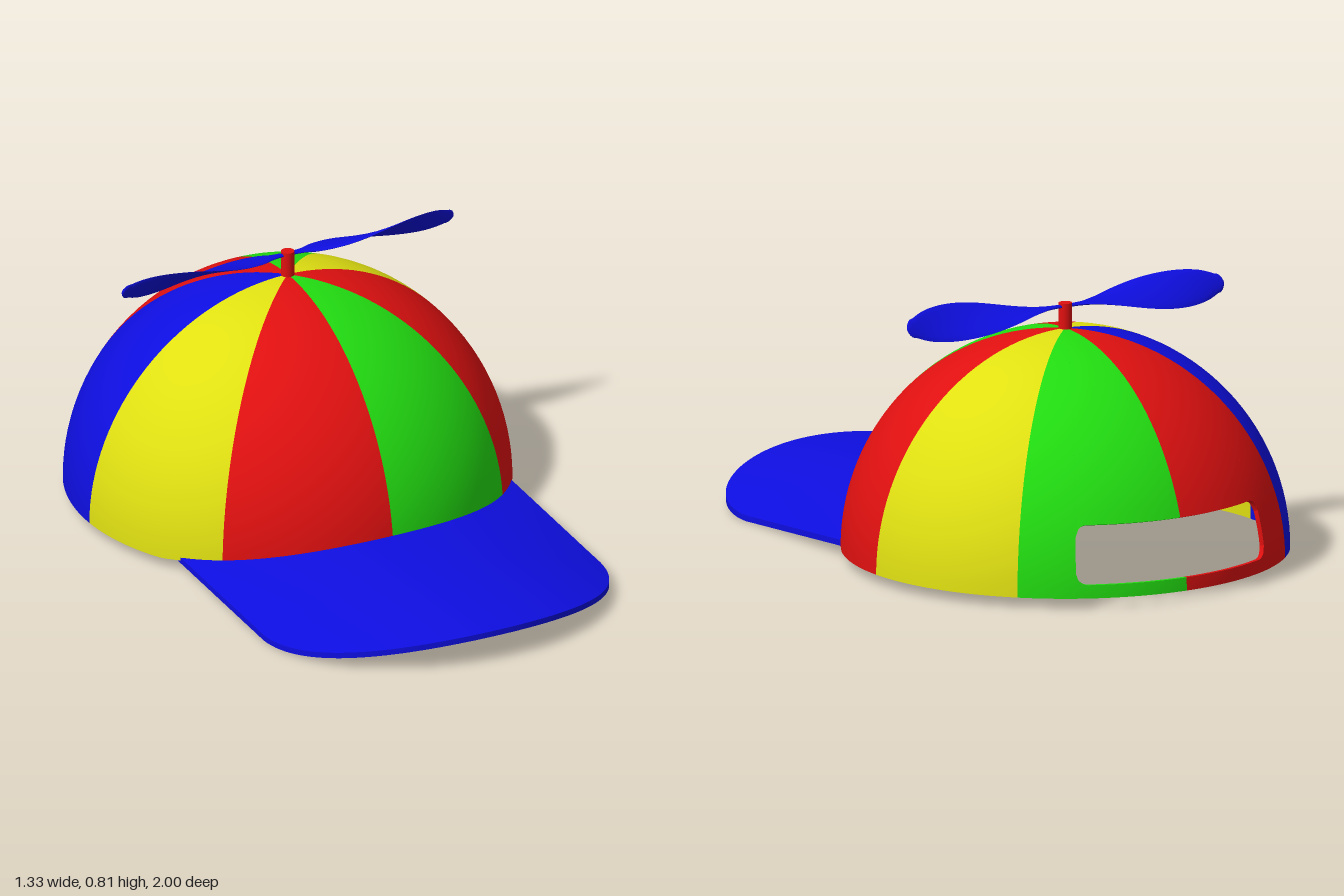
import * as THREE from 'three';
import { toCreasedNormals } from 'three/addons/utils/BufferGeometryUtils.js';

const R = 0.665, WALL = 0.014, BASE = 0.03, CZ = -0.335; // crown sphere
const HALF = 0.555, BRIM = 0.018; // brim half width and thickness
const SLOT = Math.PI / 6, SLOT_LOW = 0.07, SLOT_HIGH = 0.245, CORNER = 0.035;
const { lerp, clamp, degToRad } = THREE.MathUtils;

const flat = (name, color) => Object.assign(new THREE.MeshStandardMaterial({ color }), { name });

// Skin closed rings of points into a capped solid
function loft(rings) {
  const pos = [], idx = [], m = rings[0].length, last = (rings.length - 1) * m;
  rings.forEach(r => r.forEach(p => pos.push(...p)));
  for (let k = 0; k < rings.length - 1; k++) {
    for (let i = 0; i < m; i++) {
      const j = (i + 1) % m, a = k * m + i, b = k * m + j;
      idx.push(a, a + m, b + m, a, b + m, b);
    }
  }
  for (let i = 0; i < m / 2 - 1; i++) {
    const a = i, b = i + 1, c = m - 2 - i, d = m - 1 - i;
    idx.push(a, b, c, a, c, d);
    idx.push(last + a, last + c, last + b, last + a, last + d, last + c);
  }
  const g = new THREE.BufferGeometry();
  g.setAttribute('position', new THREE.Float32BufferAttribute(pos, 3));
  g.setIndex(idx);
  return toCreasedNormals(g, 0.6);
}

// Height of the arched brim's upper face
function brimTop(x, z) {
  const arch = lerp(0.07, 0.1, clamp((z - 0.03) / 0.52, 0, 1));
  return 0.118 - arch * (x / HALF) ** 2 - 0.1 * Math.max(0, z - 0.6) ** 2;
}

// Lower edge of the crown, lifted over the brim at the front
function hem(t) {
  if (Math.cos(t) <= 0) return BASE;
  const x = R * Math.sin(t), z = CZ + R * Math.cos(t);
  return Math.max(BASE, brimTop(x, z) - BRIM / 2);
}

// Rounding of the slot corners at angle t
function round(t) {
  const d = Math.max(0, (SLOT - Math.abs(t - Math.PI)) * R);
  return d < CORNER ? CORNER - Math.sqrt(CORNER ** 2 - (CORNER - d) ** 2) : 0;
}
const slotTop = t => SLOT_HIGH - round(t);
const slotBottom = t => SLOT_LOW + round(t);
const crownTop = () => BASE + R;

// Piece of the spherical wall between two angles and two height rules
function shell(t0, t1, low, high, nu, nv) {
  const rings = [];
  for (let k = 0; k <= nu; k++) {
    const t = lerp(t0, t1, k / nu), outer = [], inner = [];
    const e0 = Math.asin((low(t) - BASE) / R), e1 = Math.asin(Math.min(1, (high(t) - BASE) / R));
    for (let i = 0; i <= nv; i++) {
      const e = lerp(e0, e1, i / nv);
      const at = r => [r * Math.cos(e) * Math.sin(t), BASE + r * Math.sin(e), CZ + r * Math.cos(e) * Math.cos(t)];
      outer.push(at(R));
      inner.unshift(at(R - WALL));
    }
    rings.push([...outer, ...inner]);
  }
  return loft(rings);
}

function brimGeometry() {
  const rings = [], nu = 64, nv = 20;
  for (let k = 0; k <= nu; k++) {
    const s = Math.sin(lerp(-Math.PI / 2, Math.PI / 2, k / nu)), x = HALF * s;
    const z0 = CZ + Math.sqrt((R - WALL / 2) ** 2 - x * x);
    const z1 = 0.55 + 0.45 * Math.sqrt(Math.max(0, 1 - s * s));
    const top = [], under = [];
    for (let i = 0; i <= nv; i++) {
      const z = lerp(z1, z0, i / nv), y = brimTop(x, z);
      top.push([x, y, z]);
      under.unshift([x, y - BRIM, z]);
    }
    rings.push([...top, ...under]);
  }
  return loft(rings);
}

// Two mirrored blades, flat at the hub and twisting steeper to the tips
function propellerGeometry() {
  const chord = new THREE.SplineCurve([
    [0, 0.008], [0.05, 0.014], [0.1, 0.032], [0.2, 0.06], [0.3, 0.07], [0.4, 0.065], [0.48, 0.05], [0.53, 0.03],
  ].map(p => new THREE.Vector2(...p)));
  const half = [];
  for (let k = 0; k <= 40; k++) {
    const p = chord.getPoint(k / 40);
    half.push([p.x, p.y]);
  }
  for (let k = 1; k <= 6; k++) {
    const a = k / 6 * Math.PI / 2;
    half.push([0.53 + 0.025 * Math.sin(a), 0.03 * Math.cos(a)]);
  }
  const stations = [...half.slice(1).reverse().map(([x, w]) => [-x, w]), ...half];
  return loft(stations.map(([x, w]) => {
    const pitch = degToRad(145 * Math.max(0, Math.abs(x) - 0.08));
    const thick = Math.min(0.005, w * 0.5), ring = [];
    for (let i = 0; i < 16; i++) {
      const a = i / 16 * Math.PI * 2, u = w * Math.cos(a), v = thick * Math.sin(a);
      ring.push([x, 0.762 + u * Math.sin(pitch) + v * Math.cos(pitch), CZ + u * Math.cos(pitch) - v * Math.sin(pitch)]);
    }
    return ring;
  }));
}

export function createModel() {
  const red = flat('red', 0xe01010), green = flat('green', 0x22dd11);
  const yellow = flat('yellow', 0xe0e012), blue = flat('blue', 0x0e0ee0);
  const model = new THREE.Group();
  model.name = 'propellerCap';
  const add = (name, geometry, material, parent = model) => {
    const mesh = new THREE.Mesh(geometry, material);
    mesh.name = name;
    parent.add(mesh);
    return mesh;
  };

  // Eight crown panels, counted from the front centre towards +x
  const crown = new THREE.Group();
  crown.name = 'crown';
  model.add(crown);
  const step = Math.PI / 4;
  [green, red, yellow, green, red, blue, yellow, red].forEach((material, i) => {
    let t0 = i * step, t1 = t0 + step;
    if (i === 3 || i === 4) {
      // Back panels leave a slot open above the strap
      const s0 = i === 3 ? Math.PI - SLOT : Math.PI, s1 = s0 + SLOT;
      add('backPanelUpper' + i, shell(s0, s1, slotTop, crownTop, 40, 24), material, crown);
      add('backStrap' + i, shell(s0, s1, hem, slotBottom, 40, 4), material, crown);
      if (i === 3) t1 = s0;
      else t0 = s1;
    }
    add('crownPanel' + i, shell(t0, t1, hem, crownTop, 20, 32), material, crown);
  });

  add('brim', brimGeometry(), blue);

  // Propeller on its stem
  add('propellerStem', new THREE.CylinderGeometry(0.02, 0.02, 0.092, 24), red).position.set(0, 0.726, CZ);
  add('propeller', propellerGeometry(), blue);
  return model;
}
